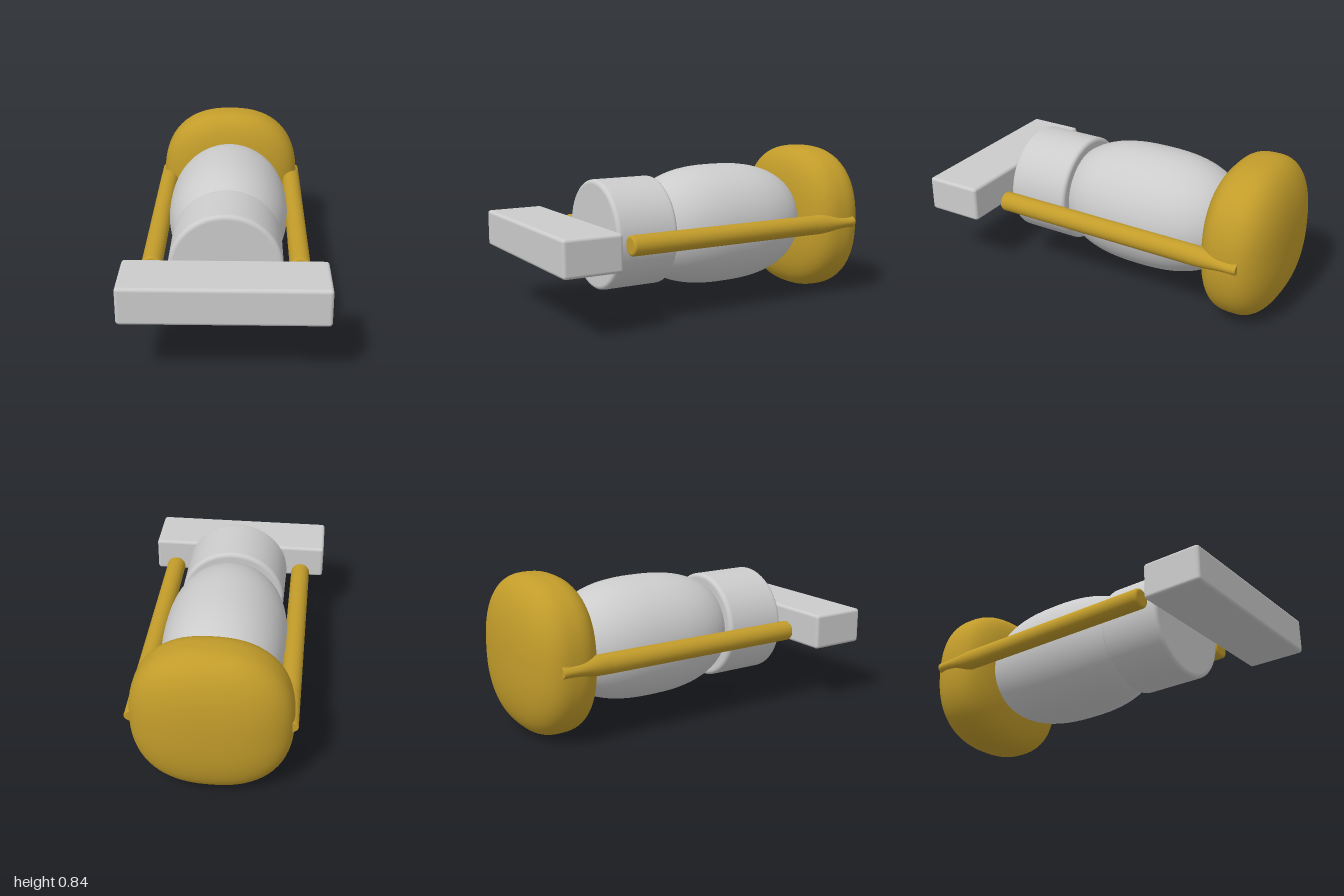
import * as THREE from 'three';
import { mergeVertices } from 'three/addons/utils/BufferGeometryUtils.js';
import { RoundedBoxGeometry } from 'three/addons/geometries/RoundedBoxGeometry.js';

const AXIS_Y = 0.423;
const grey = new THREE.MeshStandardMaterial({ color: 0xcccccc });
const gold = new THREE.MeshStandardMaterial({ color: 0xc29c2a });

// Solid of revolution around the z axis; points are [radius, z] from back to front
function turned(points, segments = 72) {
  const geo = new THREE.LatheGeometry(points.map(([r, z]) => new THREE.Vector2(r, z)), segments);
  return geo.rotateX(Math.PI / 2);
}

// Profile of a round bar with softened rims
function barProfile(radius, back, front, bevelBack, bevelFront, steps = 6) {
  const points = [[0, back], [radius - bevelBack - 0.002, back]];
  for (let i = 0; i <= steps; i++) {
    const a = (i / steps) * Math.PI / 2;
    points.push([radius - bevelBack * (1 - Math.sin(a)), back + bevelBack * (1 - Math.cos(a))]);
  }
  points.push([radius, back + bevelBack + 0.002], [radius, front - bevelFront - 0.002]);
  for (let i = 0; i <= steps; i++) {
    const a = (i / steps) * Math.PI / 2;
    points.push([radius - bevelFront * (1 - Math.cos(a)), front - bevelFront * (1 - Math.sin(a))]);
  }
  points.push([radius - bevelFront - 0.002, front], [0, front]);
  return points;
}

// Smooth normals across the seam after reshaping
function smooth(geo) {
  geo.deleteAttribute('uv');
  geo.deleteAttribute('normal');
  const merged = mergeVertices(geo, 1e-5);
  merged.computeVertexNormals();
  return merged;
}

// Squarish cushion, flatter towards the front than the back
function cushion(rx, ry, rz) {
  const geo = new THREE.SphereGeometry(1, 80, 56).rotateX(Math.PI / 2);
  const pos = geo.attributes.position;
  for (let i = 0; i < pos.count; i++) {
    const x = pos.getX(i), y = pos.getY(i), z = pos.getZ(i);
    const a = 2.4, b = z > 0 ? 3 : 2.5;
    const ring = Math.pow(Math.abs(x) ** a + Math.abs(y) ** a, 1 / a);
    const k = Math.pow(ring ** b + Math.abs(z) ** b, -1 / b);
    pos.setXYZ(i, x * k * rx, y * k * ry, z * k * rz);
  }
  return smooth(geo);
}

// Long rod whose rear end is pinched in height
function rodGeometry() {
  const profile = barProfile(0.054, -0.86, 0.575, 0.004, 0.014);
  const split = profile.findIndex(([, z]) => z > 0);
  const extra = [];
  for (let i = 0; i <= 12; i++) extra.push([0.054, -0.82 + i * 0.02]);
  profile.splice(split, 0, ...extra);
  const geo = turned(profile, 28);
  const pos = geo.attributes.position;
  for (let i = 0; i < pos.count; i++) {
    const t = 1 - THREE.MathUtils.smoothstep(pos.getZ(i), -0.82, -0.62);
    pos.setY(i, pos.getY(i) * (1 - 0.35 * t));
  }
  return smooth(geo);
}

export function createModel() {
  const group = new THREE.Group();
  const add = (name, geo, material, x, y, z) => {
    const mesh = new THREE.Mesh(geo, material);
    mesh.name = name;
    mesh.position.set(x, y, z);
    group.add(mesh);
  };

  // Separate crossbar in front
  add('frontBar', new RoundedBoxGeometry(1.034, 0.196, 0.32, 4, 0.018), grey, 0, AXIS_Y, 0.84);

  // Short drum
  add('collar', turned(barProfile(0.297, 0.242, 0.597, 0.022, 0.022)), grey, 0, AXIS_Y, 0);

  // Bulging barrel, its ends buried in the collar and the cushion
  const barrel = [];
  for (let i = 0; i <= 40; i++) {
    const a = -Math.PI / 2 + (i / 40) * Math.PI;
    const s = Math.sin(a), c = Math.max(0, Math.cos(a));
    barrel.push([0.338 * c ** 0.8, 0.516 * Math.sign(s) * Math.abs(s) ** 0.8]);
  }
  add('barrel', turned(barrel), grey, 0, AXIS_Y, -0.17);

  // Rear cushion
  add('rearCushion', cushion(0.415, 0.42, 0.208), gold, 0, 0.42, -0.792);

  // Side rods
  const rod = rodGeometry();
  add('leftRod', rod, gold, 0.381, 0.425, 0);
  add('rightRod', rod, gold, -0.381, 0.425, 0);

  return group;
}
